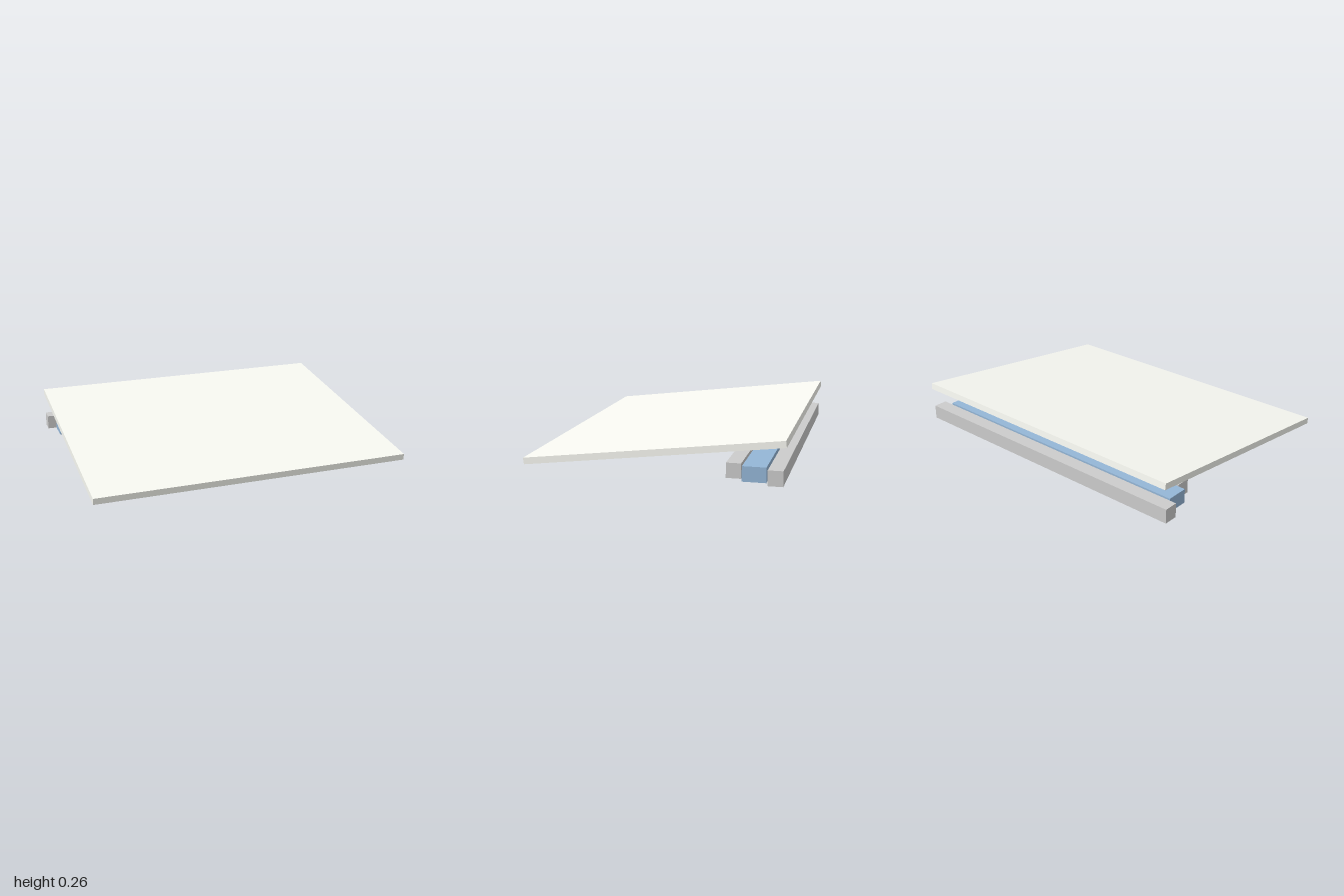
import * as THREE from 'three';

export function createModel() {
  const group = new THREE.Group();

  function bar(name, color, width, height, depth, y, z) {
    const mesh = new THREE.Mesh(
      new THREE.BoxGeometry(width, height, depth),
      new THREE.MeshStandardMaterial({ color })
    );
    mesh.name = name;
    mesh.position.set(0, y, z);
    group.add(mesh);
    return mesh;
  }

  // Thin slab, raised towards the back
  const panel = bar('tiltedPanel', 0xf8f9f2, 2, 0.04, 1.552, 0.148, 0);
  panel.rotation.x = 0.1208;

  // Three parallel bars under the raised edge, each longer than the one in front
  bar('frontRail', 0xcccccc, 1.78, 0.09, 0.088, 0.045, -0.459);
  bar('middleBeam', 0x94b6d7, 1.89, 0.09, 0.139, 0.045, -0.586);
  bar('backRail', 0xcccccc, 2, 0.09, 0.088, 0.045, -0.714);

  return group;
}
